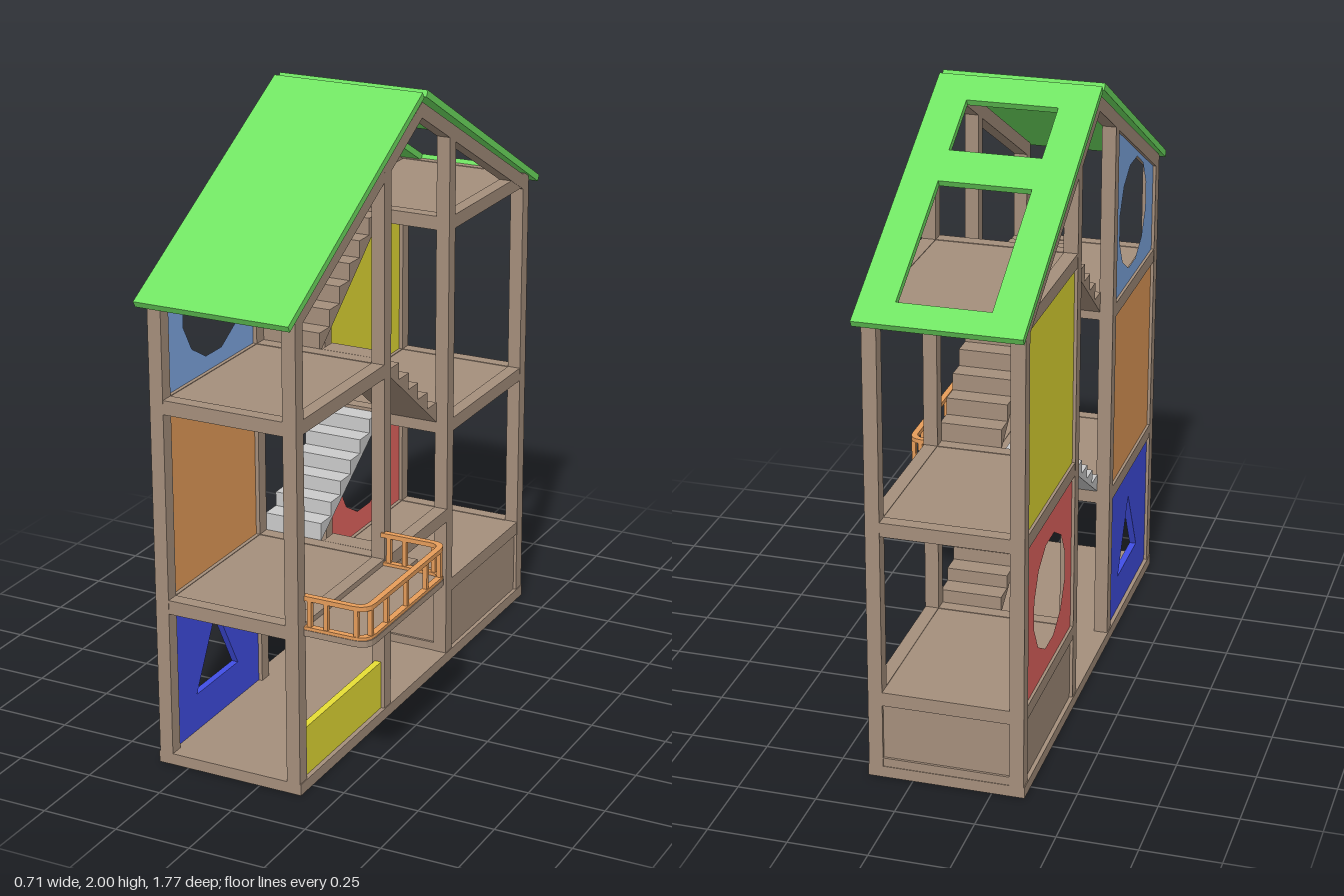
import * as THREE from 'three';

const mat = (color) => new THREE.MeshStandardMaterial({ color, flatShading: true });

export function createModel() {
  const model = new THREE.Group();
  const M = {
    wood: mat(0xa58f7c), grey: mat(0xcccccc), green: mat(0x70e262), orange: mat(0xe79d5a),
    yellow: mat(0xe7de35), red: mat(0xe96862), sky: mat(0x81abe7), blue: mat(0x414fe7),
  };
  const XL = -0.35, XR = 0.14, T = 0.045;          // frame sides and timber width
  const add = (name, geo, m, parent = model) => {
    const mesh = new THREE.Mesh(geo, m);
    mesh.name = name;
    parent.add(mesh);
    return mesh;
  };
  const group = (name) => {
    const g = new THREE.Group();
    g.name = name;
    model.add(g);
    return g;
  };
  // box given by its limits on each axis
  const box = (name, x0, x1, y0, y1, z0, z1, m = M.wood, parent = model) => {
    const mesh = add(name, new THREE.BoxGeometry(x1 - x0, y1 - y0, z1 - z0), m, parent);
    mesh.position.set((x0 + x1) / 2, (y0 + y1) / 2, (z0 + z1) / 2);
    return mesh;
  };
  // side outline of [z, y] points, extruded from x0 to x1
  const side = (name, pts, x0, x1, m, hole, parent = model) => {
    const flip = (p) => p.map(([z, y]) => new THREE.Vector2(-z, y));
    const s = new THREE.Shape(flip(pts));
    if (hole) s.holes.push(new THREE.Path(flip(hole)));
    const g = new THREE.ExtrudeGeometry(s, { depth: x1 - x0, bevelEnabled: false });
    g.rotateY(Math.PI / 2).translate(x0, 0, 0);
    return add(name, g, m, parent);
  };
  const rect = (z0, z1, y0, y1) => [[z0, y0], [z1, y0], [z1, y1], [z0, y1]];
  const ring = (z, y, r, n = 12) => Array.from({ length: n }, (_, i) => {
    const a = (i + 0.5) / n * Math.PI * 2;
    return [z + r * Math.cos(a), y + r * Math.sin(a)];
  });

  // base
  box('base', XL - 0.003, XR + 0.003, 0, 0.037, -0.82, 0.825);

  // posts and rafters on both sides
  const frame = group('frame');
  const roofY = (z) => 1.965 - 0.545 * Math.abs(z);
  for (const x of [XL, XR - T]) {
    for (const z of [0.78, 0.21, -0.245, -0.82]) {
      const z1 = z + T;
      side('post', [[z, 0.03], [z1, 0.03], [z1, roofY(z1) - 0.01], [z, roofY(z) - 0.01]], x, x + T, M.wood, null, frame);
    }
    side('rafters', [[-0.82, roofY(0.82)], [-0.82, roofY(0.82) - 0.05], [0, roofY(0) - 0.05],
      [0.825, roofY(0.82) - 0.05], [0.825, roofY(0.82)], [0, roofY(0)]], x, x + T, M.wood, null, frame);
  }
  box('middleBeam', XR - T, XR, 0.51, 0.555, -0.22, 0.23, M.wood, frame);

  // floors: thin board with a beam under each edge
  const floors = group('floors');
  const floor = (y, z0, z1) => {
    box('floorBoard', XL + 0.01, XR - 0.01, y - 0.022, y - 0.002, z0 + 0.01, z1 - 0.01, M.wood, floors);
    for (const x of [XL, XR - T]) box('sideBeam', x + 0.001, x + T - 0.001, y - T, y, z0, z1, M.wood, floors);
    for (const z of [z0, z1 - T]) box('crossBeam', XL, XR, y - T, y, z + 0.001, z + T - 0.001, M.wood, floors);
  };
  for (const y of [0.555, 1.2]) floor(y, 0.21, 0.825);
  for (const y of [0.292, 0.86, 1.545]) floor(y, -0.82, -0.2);

  // closed box under the low rear floor
  const plinth = group('rearPlinth');
  for (const x of [XL + 0.01, XR - 0.03]) box('plinthSide', x, x + 0.02, 0.03, 0.26, -0.79, -0.23, M.wood, plinth);
  for (const z of [-0.81, -0.23]) {
    box('plinthEnd', XL + 0.02, XR - 0.02, 0.03, 0.26, z, z + 0.02, M.wood, plinth);
    box('plinthRail', XL + T, XR - T, 0.03, 0.065, z - 0.008, z + 0.028, M.wood, plinth);
  }

  // coloured wall panels on the right wall
  const px = XL + 0.01, pw = px + 0.022;
  side('trianglePanel', rect(0.25, 0.785, 0.035, 0.515), px, pw, M.blue, [[0.65, 0.16], [0.39, 0.16], [0.52, 0.4]]);
  side('orangePanel', rect(0.25, 0.785, 0.55, 1.16), px, pw, M.orange);
  side('skyPanel', [[0.25, 1.195], [0.785, 1.195], [0.785, 1.5], [0.25, 1.8]], px, pw, M.sky, ring(0.5, 1.425, 0.182));
  side('redPanel', rect(-0.78, -0.24, 0.285, 0.82), px, pw, M.red, ring(-0.5, 0.543, 0.182));
  side('yellowPanel', rect(-0.78, -0.24, 0.855, 1.505), px, pw, M.yellow);
  // low panel on the left wall
  box('lowYellowPanel', XR - 0.034, XR - 0.012, 0.035, 0.198, 0.25, 0.785, M.yellow);

  // stairs: stepped top over a straight soffit
  const stair = (name, zLow, zHigh, yLow, yHigh, x0, m) => {
    const n = 6, dz = (zHigh - zLow) / n, dy = (yHigh - yLow) / n;
    const pts = [[zLow, yLow - 0.012]];
    for (let i = 0; i < n; i++) {
      pts.push([zLow + i * dz, yLow + (i + 1) * dy], [zLow + (i + 1) * dz, yLow + (i + 1) * dy]);
    }
    pts.push([zHigh, yHigh - 0.025]);
    side(name, pts, x0, x0 + 0.2, m);
  };
  stair('stairGround', -0.2, 0.21, 0.292, 0.555, -0.1, M.wood);
  stair('stairFirst', 0.21, -0.2, 0.565, 0.85, -0.308, M.grey);
  stair('stairSecond', -0.2, 0.21, 0.865, 1.2, -0.1, M.wood);
  stair('stairTop', 0.21, -0.2, 1.195, 1.53, -0.308, M.wood);

  // balcony: rounded deck, two rails and balusters
  const balcony = group('balcony');
  const trace = (p, x0, x1, z0, z1, r) => {
    p.moveTo(x0, -z1);
    p.lineTo(x1 - r, -z1);
    p.quadraticCurveTo(x1, -z1, x1, -z1 + r);
    p.lineTo(x1, -z0 - r);
    p.quadraticCurveTo(x1, -z0, x1 - r, -z0);
    p.lineTo(x0, -z0);
    return p;
  };
  const slab = (name, shape, y, h, m) => {
    const g = new THREE.ExtrudeGeometry(shape, { depth: h, bevelEnabled: false, curveSegments: 4 });
    add(name, g.rotateX(-Math.PI / 2).translate(0, y, 0), m, balcony);
  };
  slab('deck', trace(new THREE.Shape(), XR - 0.02, 0.355, 0.24, 0.79, 0.05), 0.517, 0.02, M.wood);
  for (const y of [0.537, 0.631]) {
    // U-shaped rail, open at the house
    const u = new THREE.Shape();
    trace(u, XR - 0.01, 0.352, 0.242, 0.788, 0.05);
    u.lineTo(XR - 0.01, -0.262);
    u.lineTo(0.3, -0.262);
    u.quadraticCurveTo(0.332, -0.262, 0.332, -0.294);
    u.lineTo(0.332, -0.736);
    u.quadraticCurveTo(0.332, -0.768, 0.3, -0.768);
    u.lineTo(XR - 0.01, -0.768);
    slab('rail', u, y, y < 0.6 ? 0.01 : 0.015, M.orange);
  }
  const baluster = (x, z) => box('baluster', x - 0.007, x + 0.007, 0.54, 0.635, z - 0.007, z + 0.007, M.orange, balcony);
  for (const z of [0.252, 0.778]) for (const x of [0.155, 0.21, 0.31]) baluster(x, z);
  for (const z of [0.28, 0.378, 0.515, 0.647, 0.75]) baluster(0.342, z);

  // roof slopes: plain at the front, two skylight openings at the back
  const roof = group('roof');
  const slope = (name, holes, turn) => {
    const r = (p, w, a, b) => {
      p.moveTo(-w, a);
      p.lineTo(w, a);
      p.lineTo(w, b);
      p.lineTo(-w, b);
      p.closePath();
      return p;
    };
    const s = r(new THREE.Shape(), 0.255, 0, 0.992);
    for (const [a, b] of holes) s.holes.push(r(new THREE.Path(), 0.143, a, b));
    const g = new THREE.ExtrudeGeometry(s, { depth: 0.022, bevelEnabled: false });
    const t = 0.509, c = Math.cos(t), n = Math.sin(t);
    g.applyMatrix4(new THREE.Matrix4().makeBasis(
      new THREE.Vector3(1, 0, 0), new THREE.Vector3(0, -n, -c), new THREE.Vector3(0, c, -n)));
    g.translate(0, 1.98, -0.007).rotateY(turn).translate(-0.105, 0, 0);
    add(name, g, M.green, roof);
  };
  slope('frontSlope', [], Math.PI);
  slope('backSlope', [[0.103, 0.31], [0.435, 0.905]], 0);

  return model;
}
